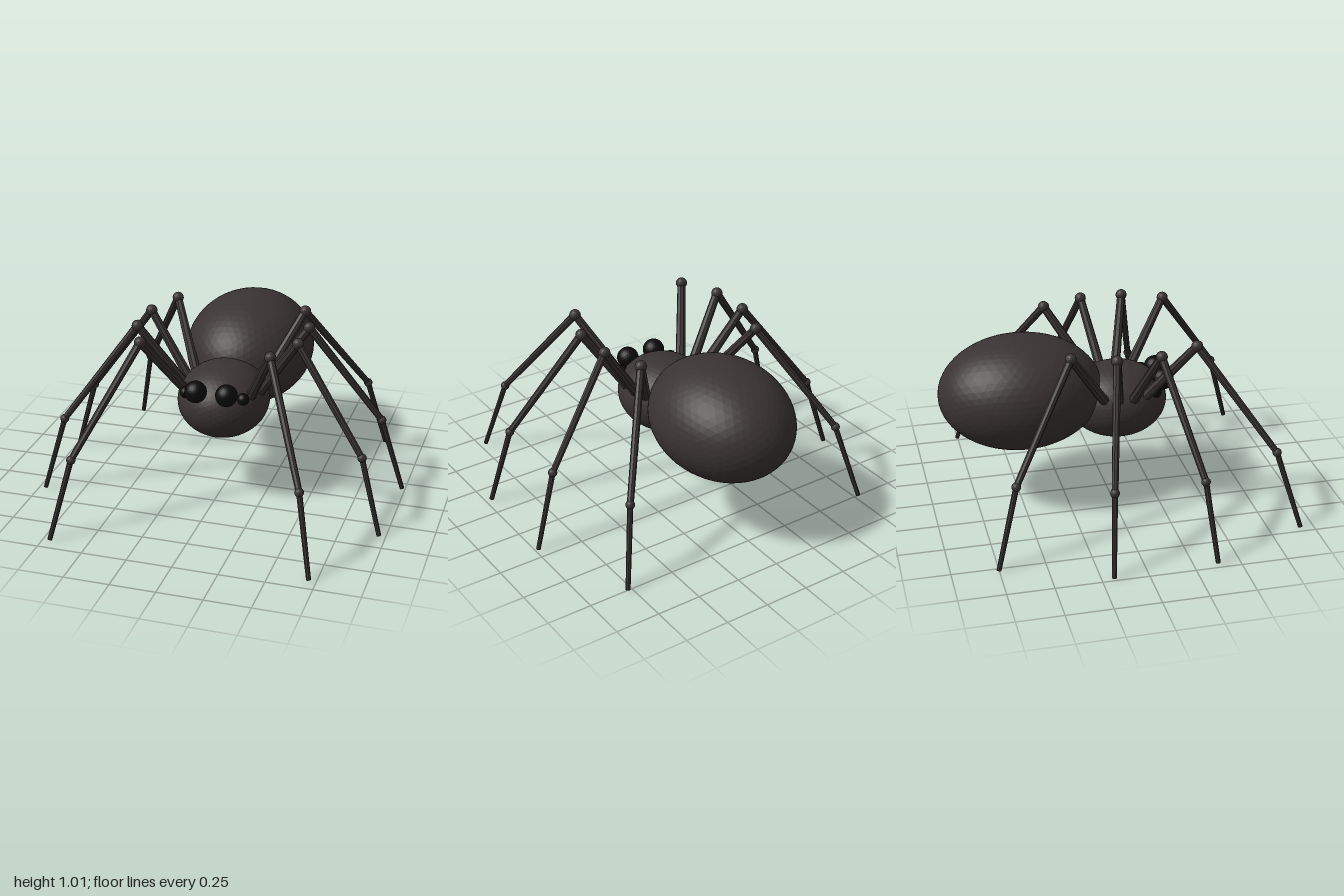
import * as THREE from 'three';

const bodyMat = new THREE.MeshStandardMaterial({ color: 0x3a3333, flatShading: true });
const eyeMat = new THREE.MeshStandardMaterial({ color: 0x0a0a0a, flatShading: true });

// Faceted ball, optionally stretched to an ellipsoid
function ball(name, center, radii, detail, material = bodyMat) {
  const mesh = new THREE.Mesh(new THREE.IcosahedronGeometry(1, detail).scale(...radii), material);
  mesh.position.set(...center);
  mesh.name = name;
  return mesh;
}

// Tapered rod from point a to point b
function rod(name, a, b, ra, rb) {
  const start = new THREE.Vector3(...a), end = new THREE.Vector3(...b);
  const dir = end.clone().sub(start);
  const mesh = new THREE.Mesh(new THREE.CylinderGeometry(rb, ra, dir.length(), 8), bodyMat);
  mesh.position.copy(start).add(end).multiplyScalar(0.5);
  mesh.quaternion.setFromUnitVectors(new THREE.Vector3(0, 1, 0), dir.normalize());
  mesh.name = name;
  return mesh;
}

// Hip, knee, ankle and foot points of the left legs, front to back
const LEGS = [
  [[0.19, 0.64, 0.18], [0.357, 0.985, 0.415], [0.62, 0.435, 0.8], [0.71, 0.008, 0.925]],
  [[0.22, 0.64, 0.105], [0.45, 0.985, 0.195], [0.845, 0.435, 0.335], [0.963, 0.008, 0.38]],
  [[0.22, 0.64, 0.02], [0.452, 0.985, -0.045], [0.855, 0.435, -0.152], [0.983, 0.008, -0.185]],
  [[0.2, 0.64, -0.055], [0.373, 0.985, -0.275], [0.677, 0.435, -0.632], [0.775, 0.008, -0.752]],
];

function leg(name, points) {
  const [hip, knee, ankle, foot] = points;
  const group = new THREE.Group();
  group.name = name;
  group.add(
    rod('upperLeg', hip, knee, 0.028, 0.023),
    ball('knee', knee, [0.032, 0.032, 0.032], 2),
    rod('middleLeg', knee, ankle, 0.022, 0.018),
    ball('ankle', ankle, [0.025, 0.025, 0.025], 2),
    rod('lowerLeg', ankle, foot, 0.016, 0.013),
  );
  return group;
}

export function createModel() {
  const model = new THREE.Group();
  model.name = 'spider';

  // Body
  model.add(
    ball('abdomen', [0, 0.655, -0.483], [0.364, 0.315, 0.455], 9),
    ball('headAndThorax', [0, 0.555, 0.06], [0.255, 0.21, 0.28], 8),
  );

  // Mirrored eyes and legs
  for (const [side, s] of [['left', 1], ['right', -1]]) {
    model.add(
      ball(side + 'LargeEye', [s * 0.087, 0.684, 0.303], [0.061, 0.061, 0.061], 4, eyeMat),
      ball(side + 'SmallEye', [s * 0.163, 0.645, 0.243], [0.033, 0.033, 0.033], 3, eyeMat),
    );
    LEGS.forEach((points, i) =>
      model.add(leg(side + 'Leg' + (i + 1), points.map(([x, y, z]) => [s * x, y, z]))));
  }
  return model;
}
